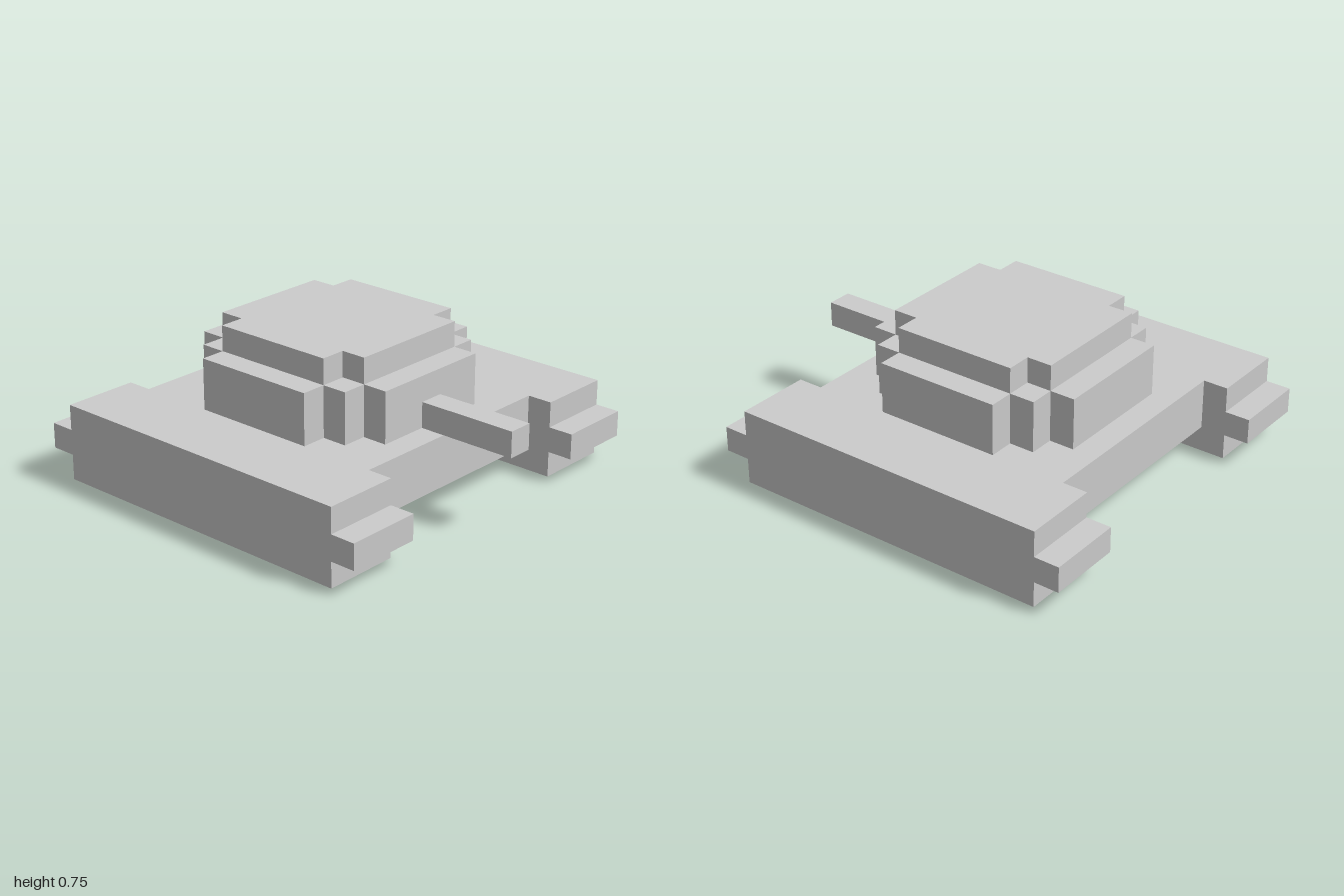
import * as THREE from 'three';

const U = 0.125; // block size that every part is a multiple of
const material = new THREE.MeshStandardMaterial({ color: 0xcccccc, flatShading: true });

function addMesh(parent, name, geometry, x = 0, y = 0, z = 0) {
  const mesh = new THREE.Mesh(geometry, material);
  mesh.name = name;
  mesh.position.set(x * U, y * U, z * U);
  parent.add(mesh);
  return mesh;
}

// Closed stepped outline: one quadrant of corners, mirrored to all four
function steppedShape(quadrant) {
  const back = [...quadrant].reverse();
  const points = [
    ...quadrant,
    ...back.map(([a, b]) => [-a, b]),
    ...quadrant.map(([a, b]) => [-a, -b]),
    ...back.map(([a, b]) => [a, -b]),
  ];
  return new THREE.Shape(points.map(([a, b]) => new THREE.Vector2(a * U, b * U)));
}

function extrude(shape, depth) {
  return new THREE.ExtrudeGeometry(shape, { depth: depth * U, bevelEnabled: false });
}

export function createModel() {
  const model = new THREE.Group();
  model.name = 'tank';

  // Hull slung between the tracks
  addMesh(model, 'hull', new THREE.BoxGeometry(9 * U, 2 * U, 11 * U), 0, 2, -0.5);

  // Tracks: side profile with a protruding middle row, extruded across
  const profile = steppedShape([[7.5, 0.5], [6.5, 0.5], [6.5, 1.5]]);
  for (const [name, centre] of [['leftTrack', 6], ['rightTrack', -6]]) {
    const track = extrude(profile, 3).rotateY(-Math.PI / 2);
    addMesh(model, name, track, centre + 1.5, 1.5, -0.5);
  }

  // Turret: two stepped plans, extruded downwards from their tops
  const turret = new THREE.Group();
  turret.name = 'turret';
  model.add(turret);
  const base = steppedShape([[4.5, 2.5], [3.5, 2.5], [3.5, 3.5], [2.5, 3.5], [2.5, 4.5]]);
  const roof = steppedShape([[3.5, 2.5], [2.5, 2.5], [2.5, 3.5]]);
  addMesh(turret, 'turretBase', extrude(base, 2).rotateX(Math.PI / 2), 0, 5, -0.5);
  addMesh(turret, 'turretRoof', extrude(roof, 1).rotateX(Math.PI / 2), 0, 6, -0.5);

  // Gun barrel at the turret's foot
  addMesh(turret, 'barrel', new THREE.BoxGeometry(U, U, 4 * U), 0, 3.5, 6);

  return model;
}
